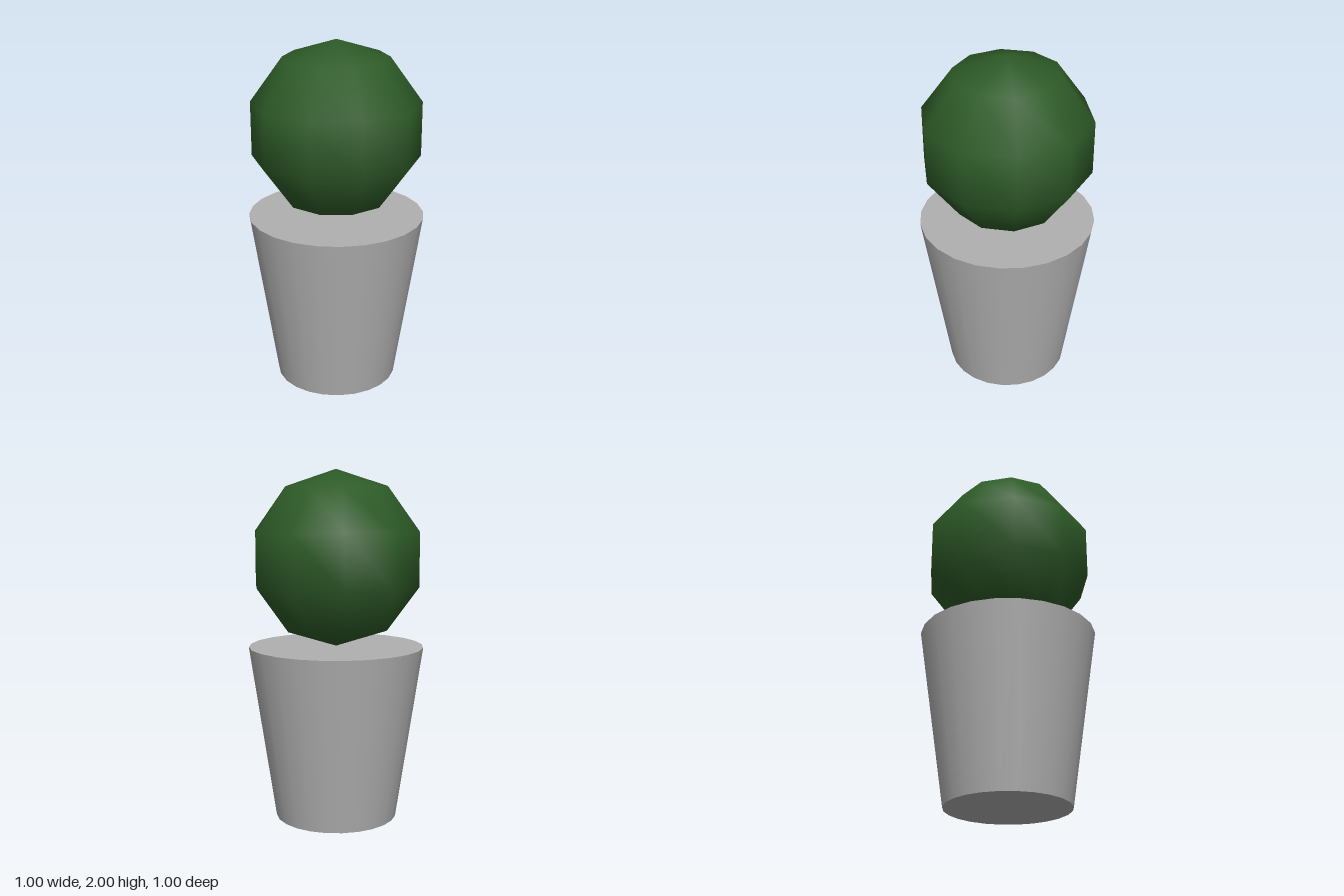
import * as THREE from 'three';

const potGrey = new THREE.MeshStandardMaterial({ name: 'potGrey', color: 0xb0b0b0 });
const leafGreen = new THREE.MeshStandardMaterial({ name: 'leafGreen', color: 0x2d5a27 });

function addPart(group, name, geometry, material, y) {
  const mesh = new THREE.Mesh(geometry, material);
  mesh.name = name;
  mesh.position.y = y;
  group.add(mesh);
  return mesh;
}

export function createModel() {
  const model = new THREE.Group();
  model.name = 'pottedShrub';

  // Tapered pot, closed at the top and bottom
  addPart(model, 'pot', new THREE.CylinderGeometry(0.5, 0.35, 1, 24), potGrey, 0.5);

  // Coarse round foliage resting on the pot, turned so corners face front and back
  const foliage = addPart(model, 'foliage', new THREE.SphereGeometry(0.5, 10, 5), leafGreen, 1.5);
  foliage.rotation.y = Math.PI / 2;

  return model;
}
